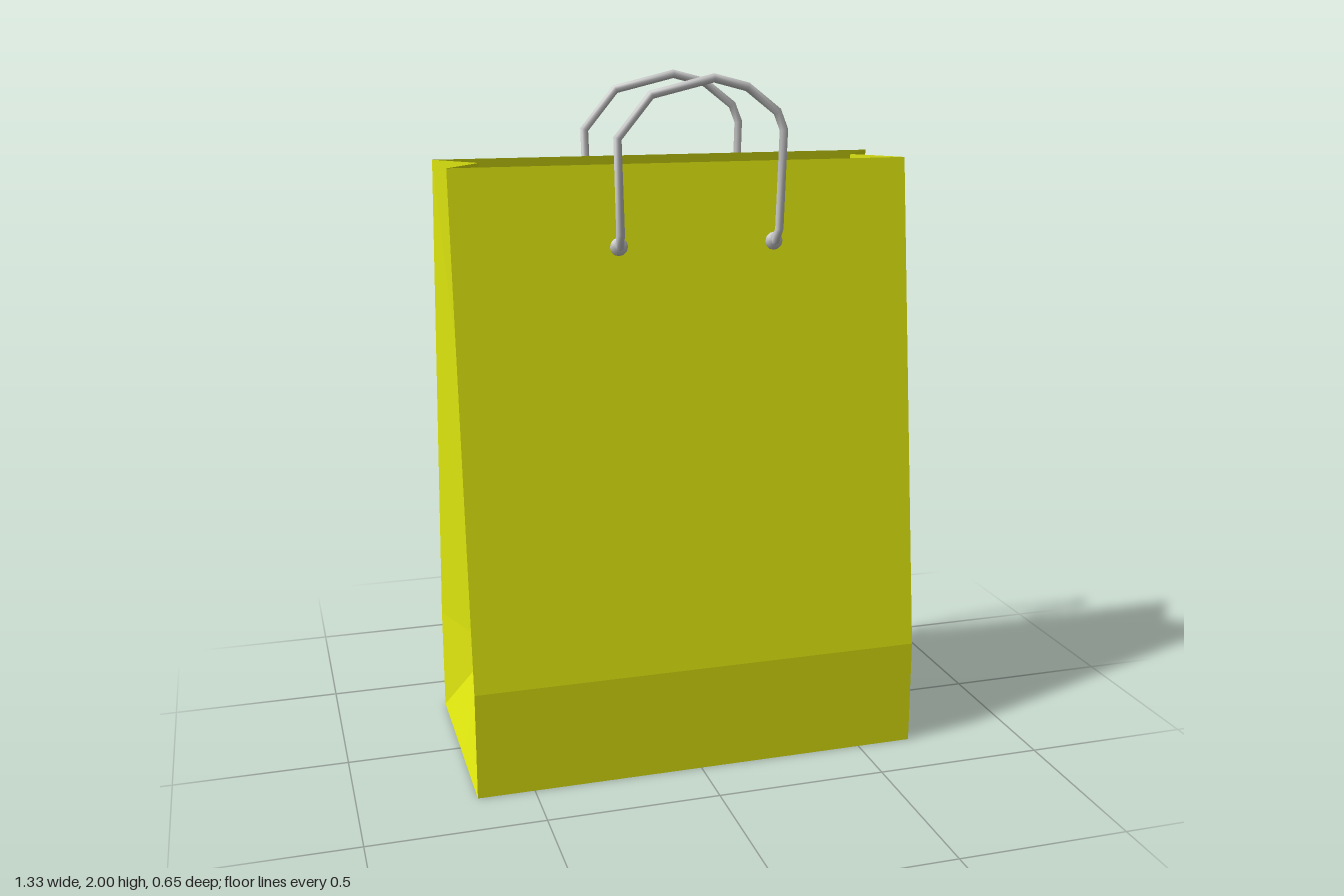
import * as THREE from 'three';

const W = 0.665, BASE = 0.325, RIM = 0.142, FOLD_X = 0.555, FOLD_Y = 0.315, TOP = 1.757;

// Flat-shaded sheet from polygons given as corner lists (fan-triangulated)
function sheet(name, polygons, material) {
  const pos = [];
  for (const p of polygons)
    for (let i = 1; i < p.length - 1; i++) pos.push(...p[0], ...p[i], ...p[i + 1]);
  const geo = new THREE.BufferGeometry();
  geo.setAttribute('position', new THREE.Float32BufferAttribute(pos, 3));
  geo.computeVertexNormals();
  const mesh = new THREE.Mesh(geo, material);
  mesh.name = name;
  return mesh;
}

// Straight-segmented curve whose samples fall exactly on its corners
class Polyline extends THREE.Curve {
  constructor(points) { super(); this.points = points; }
  getPoint(t, target = new THREE.Vector3()) {
    const n = this.points.length - 1, i = Math.min(Math.floor(t * n + 1e-6), n - 1);
    return target.lerpVectors(this.points[i], this.points[i + 1], t * n - i);
  }
  getPointAt(t, target) { return this.getPoint(t, target); }
  getTangentAt(t, target = new THREE.Vector3()) {
    const p = this.points, n = p.length - 1, i = Math.round(t * n);
    target.set(0, 0, 0);
    if (i > 0) target.add(p[i].clone().sub(p[i - 1]).normalize());
    if (i < n) target.add(p[i + 1].clone().sub(p[i]).normalize());
    return target.normalize();
  }
}

export function createModel() {
  const model = new THREE.Group();
  model.name = 'shoppingBag';
  const paper = new THREE.MeshStandardMaterial({ color: 0xe2ea0e, side: THREE.DoubleSide, flatShading: true });
  const cord = new THREE.MeshStandardMaterial({ color: 0xcccccc });

  // Floor
  model.add(sheet('floor', [[[-W, 0, -BASE], [W, 0, -BASE], [W, 0, BASE], [-W, 0, BASE]]], paper));

  // Front and back panels: upright base band, then a lean in to the rim
  for (const s of [1, -1]) {
    const row = (y, z) => [[-s * W, y, s * z], [s * W, y, s * z]];
    const [a, b] = row(0, BASE), [c, d] = row(FOLD_Y, BASE), [e, f] = row(TOP, RIM);
    model.add(sheet(s > 0 ? 'frontPanel' : 'backPanel', [[a, b, d, c], [c, d, f, e]], paper));
  }

  // Side gussets, creased inward along the middle
  for (const sx of [1, -1]) {
    const faces = [];
    for (const sz of [1, -1]) {
      const corner = [sx * W, 0, sz * BASE], mid = [sx * (W - 0.008), 0, 0];
      const edge = [sx * W, FOLD_Y, sz * BASE], fold = [sx * FOLD_X, FOLD_Y, 0];
      const rim = [sx * W, TOP, sz * RIM], foldTop = [sx * FOLD_X, TOP, 0];
      const tris = [[corner, mid, fold], [corner, fold, edge], [edge, fold, rim], [fold, foldTop, rim]];
      for (const t of tris) faces.push(sx * sz > 0 ? t : t.reverse());
    }
    model.add(sheet(sx > 0 ? 'leftGusset' : 'rightGusset', faces, paper));
  }

  // Cord handles, threaded through the panels with a knot at each hole
  const path = [
    [-0.22, 1.5, 0.1], [-0.2, 1.525, 0.165], [-0.2, 1.535, 0.185], [-0.201, 1.57, 0.197],
    [-0.208, 1.83, 0.198], [-0.113, 1.945, 0.198], [0.065, 1.988, 0.198], [0.162, 1.963, 0.198],
    [0.25, 1.895, 0.198], [0.27, 1.845, 0.198], [0.262, 1.57, 0.197], [0.256, 1.535, 0.185],
    [0.255, 1.525, 0.165], [0.252, 1.5, 0.1],
  ];
  for (const s of [1, -1]) {
    const handle = new THREE.Group();
    handle.name = s > 0 ? 'frontHandle' : 'backHandle';
    const pts = path.map(([x, y, z]) => new THREE.Vector3(x, y, s * z));
    const tube = new THREE.Mesh(new THREE.TubeGeometry(new Polyline(pts), pts.length - 1, 0.0125, 8), cord);
    tube.name = 'cord';
    handle.add(tube);

    for (const [end, next] of [[pts[0], pts[1]], [pts.at(-1), pts.at(-2)]]) {
      // Flat cord end inside the bag
      const cap = new THREE.Mesh(new THREE.CircleGeometry(0.0125, 8), cord);
      cap.name = 'cordEnd';
      cap.position.copy(end);
      cap.lookAt(end.clone().multiplyScalar(2).sub(next));
      handle.add(cap);
      // Rounded knot against the panel
      const knot = new THREE.Mesh(new THREE.SphereGeometry(0.026, 10, 6), cord);
      knot.name = 'knot';
      knot.position.set(next.x, 1.533, s * 0.174);
      knot.scale.z = 0.5;
      handle.add(knot);
    }
    model.add(handle);
  }
  return model;
}
